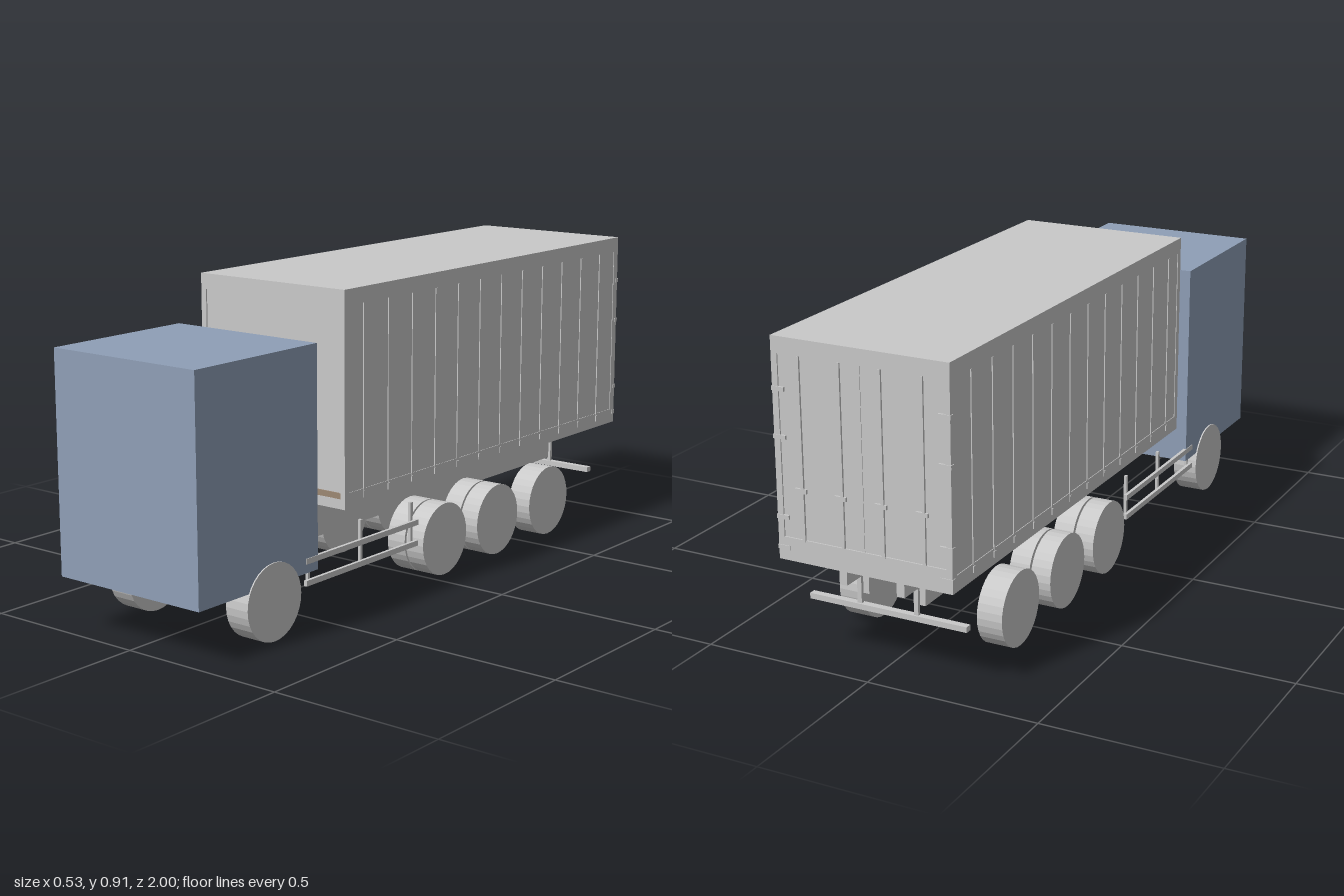
import * as THREE from 'three';

export function createModel() {
  const truck = new THREE.Group();
  truck.name = 'boxTruck';
  const grey = new THREE.MeshStandardMaterial({ color: 0xc9c9c9, flatShading: true });
  grey.name = 'light grey';
  const blue = new THREE.MeshStandardMaterial({ color: 0x8f9fb7 });
  blue.name = 'cab blue';
  const brown = new THREE.MeshStandardMaterial({ color: 0x9c8873 });
  brown.name = 'floor brown';

  // Box given by its limits on each axis
  function box(name, x0, x1, y0, y1, z0, z1, mat = grey) {
    const m = new THREE.Mesh(new THREE.BoxGeometry(Math.abs(x1 - x0), y1 - y0, z1 - z0), mat);
    m.position.set((x0 + x1) / 2, (y0 + y1) / 2, (z0 + z1) / 2);
    m.name = name;
    truck.add(m);
    return m;
  }
  // Same box on both sides
  function pair(name, x0, x1, y0, y1, z0, z1, mat = grey) {
    box(name + 'Left', x0, x1, y0, y1, z0, z1, mat);
    box(name + 'Right', -x0, -x1, y0, y1, z0, z1, mat);
  }

  // Cab
  box('cab', -0.25, 0.25, 0.155, 0.78, 0.525, 1, blue);

  // Cargo box: core, roof and corner frame
  box('cargoBody', -0.258, 0.258, 0.345, 0.9, -0.994, 0.416);
  box('roof', -0.26, 0.26, 0.865, 0.91, -0.998, 0.42);
  pair('frontPost', 0.242, 0.26, 0.345, 0.866, 0.4, 0.42);
  pair('rearPost', 0.242, 0.26, 0.345, 0.866, -0.998, -0.975);
  pair('sideSill', 0.245, 0.26, 0.3, 0.345, -0.998, 0.42);
  box('frontSill', -0.245, 0.245, 0.3, 0.328, 0.405, 0.42);
  box('rearSill', -0.245, 0.245, 0.3, 0.365, -0.998, -0.975);

  // Floor and cross members
  box('floor', -0.245, 0.245, 0.325, 0.345, -0.975, 0.419, brown);
  for (let i = -8; i <= 3; i++) {
    const z = i / 9;
    box('crossMember', -0.245, 0.245, 0.302, 0.325, z - 0.009, z + 0.009);
    pair('sideRib', 0.257, 0.261, 0.335, 0.865, z - 0.003, z + 0.003);
    pair('sideClip', 0.259, 0.263, 0.32, 0.338, z - 0.005, z + 0.005);
  }

  // Rear doors: locking rods, handles and hinges
  for (const x of [-0.18, -0.06, 0.06, 0.18]) {
    box('lockRod', x - 0.004, x + 0.004, 0.36, 0.865, -1, -0.99);
    box('doorHandle', x - 0.012, x + 0.022, 0.495, 0.507, -1, -0.99);
  }
  box('doorSeam', -0.002, 0.002, 0.365, 0.865, -0.996, -0.99);
  for (const y of [0.335, 0.42, 0.64, 0.77]) {
    pair('hinge', 0.225, 0.262, y - 0.006, y + 0.006, -1, -0.985);
  }

  // Chassis rails, stepped at both ends
  pair('chassisRail', 0.075, 0.098, 0.18, 0.302, -0.86, 0.41);
  pair('railNose', 0.075, 0.098, 0.18, 0.24, 0.41, 0.528);
  pair('railTail', 0.075, 0.098, 0.245, 0.302, -0.965, -0.86);

  // Rear underrun bar
  box('underrunBar', -0.24, 0.24, 0.148, 0.164, -0.895, -0.875);
  pair('underrunPost', 0.08, 0.093, 0.16, 0.25, -0.89, -0.88);

  // Side guards between the axles
  pair('lowerGuardRail', 0.242, 0.252, 0.118, 0.134, 0.07, 0.575);
  pair('upperGuardRail', 0.242, 0.252, 0.18, 0.196, 0.07, 0.575);
  pair('guardPost', 0.234, 0.243, 0.118, 0.25, 0.085, 0.095);
  pair('guardPost', 0.234, 0.243, 0.118, 0.25, 0.32, 0.33);
  pair('guardPost', 0.234, 0.243, 0.118, 0.196, 0.55, 0.56);

  // Wheels: [z, inner x, outer x], the two drive axles are doubled
  const wheels = [
    [0.71, 0.178, 0.254], [-0.06, 0.193, 0.254], [-0.06, 0.125, 0.187],
    [-0.335, 0.193, 0.254], [-0.335, 0.125, 0.187], [-0.62, 0.178, 0.254],
  ];
  for (const [z, a, b] of wheels) {
    for (const s of [1, -1]) {
      const w = new THREE.Mesh(new THREE.CylinderGeometry(0.109, 0.109, b - a, 32), grey);
      w.rotation.z = Math.PI / 2;
      w.position.set(s * (a + b) / 2, 0.109, z);
      w.name = s > 0 ? 'wheelLeft' : 'wheelRight';
      truck.add(w);
    }
  }
  return truck;
}
